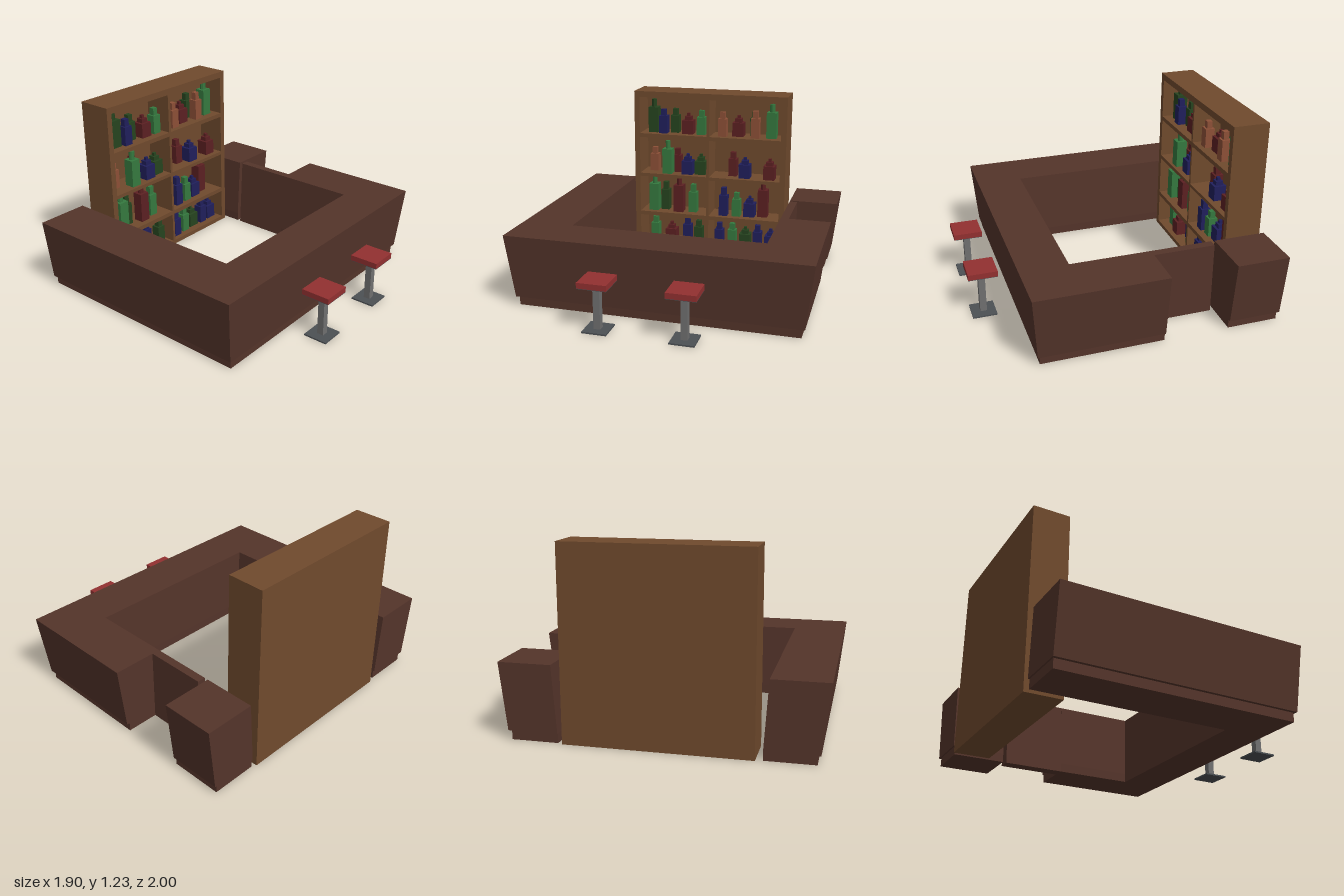
import * as THREE from 'three';

const mat = (color) => new THREE.MeshStandardMaterial({ color, flatShading: true });
const M = {
  counter: mat(0x54342a), shelf: mat(0x704a2d), seat: mat(0x923030), metal: mat(0x707070), plate: mat(0x4c5054),
  green: mat(0x35793f), forest: mat(0x26441f), navy: mat(0x201f5c), red: mat(0x5c2022), salmon: mat(0x8d5037),
};

function add(parent, name, geometry, material, x = 0, y = 0, z = 0) {
  const mesh = new THREE.Mesh(geometry, material);
  mesh.name = name;
  mesh.position.set(x, y, z);
  parent.add(mesh);
  return mesh;
}

// Box given by its minimum and maximum corners
function span(parent, name, material, [x0, y0, z0], [x1, y1, z1]) {
  return add(parent, name, new THREE.BoxGeometry(x1 - x0, y1 - y0, z1 - z0), material,
    (x0 + x1) / 2, (y0 + y1) / 2, (z0 + z1) / 2);
}

// Upright prism over an [x, z] outline; the lower rim is moved by rule(x, z)
function prism(outline, y0, y1, rule) {
  const shape = new THREE.Shape(outline.map(([x, z]) => new THREE.Vector2(x, -z)));
  const g = new THREE.ExtrudeGeometry(shape, { depth: y1 - y0, bevelEnabled: false });
  g.rotateX(-Math.PI / 2).translate(0, y0, 0);
  const p = g.attributes.position;
  for (let i = 0; i < p.count; i++) {
    if (p.getY(i) < (y0 + y1) / 2) {
      const [x, z] = rule(p.getX(i), p.getZ(i));
      p.setX(i, x);
      p.setZ(i, z);
    }
  }
  g.computeVertexNormals();
  return g;
}

// Both counter faces lean: outer edges draw in, inner edges step inwards
function lean(x, z) {
  const near = (a, b) => Math.abs(a - b) < 0.005;
  if (near(x, 0.685)) x = 0.65;
  if (near(x, 0.37)) x = 0.355;
  if (near(Math.abs(z), 1)) z *= 0.95;
  if (near(z, 0.65)) z = 0.62;
  if (near(z, -0.66)) z = -0.63;
  return [x, z];
}

// Recessed plinth outline
function plinth(x, z) {
  [x, z] = lean(x, z);
  if (x === 0.65) x = 0.635;
  if (x === -0.95) x = -0.94;
  if (Math.abs(z) > 0.94) z = Math.sign(z) * 0.93;
  return [x, z];
}

function counterSection(parent, name, outline) {
  add(parent, name, prism(outline, 0.06, 0.49, lean), M.counter);
  const foot = outline.map(([x, z]) => plinth(x, z));
  add(parent, name + 'Plinth', prism(foot, 0, 0.06, (x, z) => [x, z]), M.counter);
}

// Square bottle with stepped shoulder; tall ones have a faceted neck
const KINDS = {
  tall: { w: 0.075, body: 0.195, neck: 0.04, h: 0.255 },
  mid: { w: 0.064, body: 0.135, neck: 0.038, h: 0.185 },
  short: { w: 0.085, body: 0.105, neck: 0.05, h: 0.135, tip: 0.158 },
};
function bottle(kind, color) {
  const { w, body, neck, h, tip } = KINDS[kind];
  const g = new THREE.Group();
  g.name = 'bottle';
  span(g, 'bottleBody', M[color], [-w / 2, 0, -w / 2], [w / 2, body, w / 2]);
  if (kind === 'tall') {
    add(g, 'bottleNeck', new THREE.CylinderGeometry(neck / 2, neck / 2, h - body, 8), M[color], 0, (h + body) / 2, 0);
  } else {
    span(g, 'bottleNeck', M[color], [-neck / 2, body, -neck / 2], [neck / 2, h, neck / 2]);
  }
  if (tip) span(g, 'bottleTip', M[color], [-0.011, h, -0.011], [0.011, tip, 0.011]);
  return g;
}

// Bottles on each shelf: kind, colour, z, x offset, optional scale
const ROWS = [
  [0.905, [['tall', 'forest', 0.445, 0], ['mid', 'navy', 0.36, 0.03], ['mid', 'forest', 0.28, -0.02],
    ['short', 'red', 0.17, 0], ['mid', 'green', 0.065, 0.01], ['mid', 'salmon', -0.105, 0.03],
    ['short', 'red', -0.22, -0.01], ['mid', 'forest', -0.335, -0.05], ['mid', 'salmon', -0.355, 0.03, 1.1],
    ['tall', 'green', -0.475, 0]]],
  [0.59, [['mid', 'salmon', 0.45, -0.03], ['tall', 'green', 0.325, 0.04], ['mid', 'red', 0.265, -0.03],
    ['short', 'navy', 0.17, 0.02], ['short', 'forest', 0.07, 0], ['mid', 'red', -0.18, -0.02],
    ['short', 'navy', -0.28, 0.02], ['short', 'red', -0.47, 0.02]]],
  [0.28, [['tall', 'green', 0.44, 0.02, 1.1], ['mid', 'forest', 0.36, -0.02, 1.2], ['tall', 'red', 0.24, 0.02, 1.1],
    ['mid', 'green', 0.13, 0, 1.2], ['mid', 'navy', -0.12, 0.03, 1.2], ['mid', 'green', -0.22, 0.02],
    ['short', 'navy', -0.32, 0], ['tall', 'red', -0.42, -0.02, 1.1]]],
  [0.03, [['mid', 'green', 0.44, 0], ['short', 'red', 0.3, 0.02], ['mid', 'navy', 0.18, -0.02],
    ['mid', 'forest', 0.08, 0.02], ['mid', 'navy', -0.09, 0.03], ['mid', 'green', -0.19, 0.02],
    ['short', 'forest', -0.29, 0], ['mid', 'navy', -0.39, 0.02], ['short', 'navy', -0.49, 0]]],
];

function bottleShelf() {
  const g = new THREE.Group();
  g.name = 'bottleShelf';
  const back = -0.955, inner = -0.915, front = -0.71;
  span(g, 'backPanel', M.shelf, [back, 0, -0.6], [inner, 1.23, 0.575]);
  span(g, 'sidePanel', M.shelf, [inner, 0, 0.535], [front, 1.23, 0.575]);
  span(g, 'sidePanel', M.shelf, [inner, 0, -0.6], [front, 1.23, -0.56]);
  span(g, 'divider', M.shelf, [inner, 0.03, -0.015], [front, 1.185, 0.005]);
  for (const [y0, y1] of [[0, 0.03], [0.25, 0.28], [0.565, 0.59], [0.875, 0.905], [1.185, 1.23]]) {
    span(g, 'shelfBoard', M.shelf, [inner, y0, -0.56], [front, y1, 0.535]);
  }
  for (const [y, items] of ROWS) {
    for (const [kind, color, z, dx, s = 1] of items) {
      const b = bottle(kind, color);
      b.position.set(-0.81 + dx, y, z);
      b.scale.y = s;
      g.add(b);
    }
  }
  return g;
}

function stool(z) {
  const g = new THREE.Group();
  g.name = 'stool';
  g.position.set(0.85, 0, z);
  span(g, 'stoolBase', M.plate, [-0.08, 0, -0.08], [0.08, 0.01, 0.08]);
  span(g, 'stoolPost', M.metal, [-0.022, 0.01, -0.022], [0.022, 0.296, 0.022]);
  span(g, 'seatPlate', M.plate, [-0.096, 0.296, -0.096], [0.096, 0.299, 0.096]);
  span(g, 'seat', M.seat, [-0.096, 0.299, -0.096], [0.096, 0.336, 0.096]);
  return g;
}

export function createModel() {
  const model = new THREE.Group();
  model.name = 'bar';

  // Wrap-round counter, corner cabinet and thin gate between them
  counterSection(model, 'counter', [[-0.95, 1], [0.685, 1], [0.685, -1], [-0.165, -1],
    [-0.165, -0.66], [0.37, -0.66], [0.37, 0.65], [-0.95, 0.65]]);
  counterSection(model, 'cornerCabinet', [[-0.95, -1], [-0.6, -1], [-0.6, -0.66], [-0.95, -0.66]]);
  add(model, 'gate', prism([[-0.575, -0.715], [-0.165, -0.715], [-0.165, -0.66], [-0.575, -0.66]],
    0, 0.49, lean), M.counter);

  model.add(bottleShelf());
  for (const z of [0.295, -0.26]) model.add(stool(z));
  return model;
}
